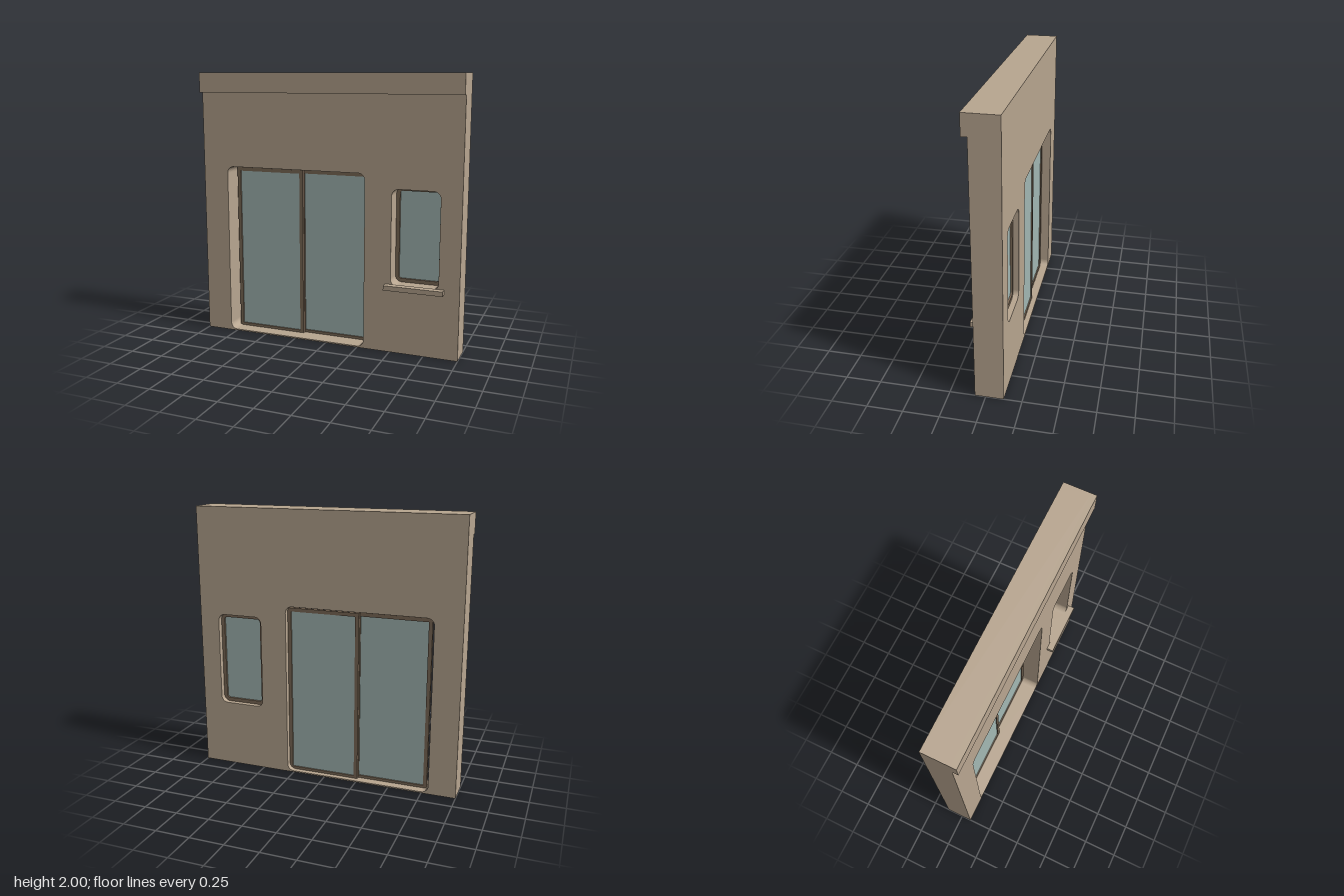
import * as THREE from 'three';

const wallMat = new THREE.MeshStandardMaterial({ name: 'sand plaster', color: 0xb8a690 });
const frameMat = new THREE.MeshStandardMaterial({ name: 'brown frame', color: 0x7d6b58 });
const glassMat = new THREE.MeshStandardMaterial({ name: 'pale glass', color: 0xa3b8b4 });

// Rounded rectangle outline from its edges; works as Shape or hole Path
function rect(Type, x0, x1, y0, y1, r = 0) {
  const p = new Type();
  if (!r) {
    p.moveTo(x0, y0); p.lineTo(x1, y0); p.lineTo(x1, y1); p.lineTo(x0, y1);
  } else {
    p.moveTo(x0 + r, y0);
    p.absarc(x1 - r, y0 + r, r, -Math.PI / 2, 0);
    p.absarc(x1 - r, y1 - r, r, 0, Math.PI / 2);
    p.absarc(x0 + r, y1 - r, r, Math.PI / 2, Math.PI);
    p.absarc(x0 + r, y0 + r, r, Math.PI, Math.PI * 1.5);
  }
  p.closePath();
  return p;
}

function slab(name, shape, z0, z1, mat) {
  const geo = new THREE.ExtrudeGeometry(shape, { depth: z1 - z0, bevelEnabled: false, curveSegments: 6 });
  geo.translate(0, 0, z0);
  const mesh = new THREE.Mesh(geo, mat);
  mesh.name = name;
  return mesh;
}

function block(name, x0, x1, y0, y1, z0, z1, mat) {
  const mesh = new THREE.Mesh(new THREE.BoxGeometry(x1 - x0, y1 - y0, z1 - z0), mat);
  mesh.position.set((x0 + x1) / 2, (y0 + y1) / 2, (z0 + z1) / 2);
  mesh.name = name;
  return mesh;
}

// Frame with a hole, and a thin pane set in the middle of its depth
function glazedPanel(name, [x0, x1, y0, y1], border, [z0, z1], rOut = 0, rIn = 0) {
  const group = new THREE.Group();
  group.name = name;
  const inner = [x0 + border, x1 - border, y0 + border, y1 - border];
  const shape = rect(THREE.Shape, x0, x1, y0, y1, rOut);
  shape.holes.push(rect(THREE.Path, ...inner, rIn));
  const zm = (z0 + z1) / 2;
  group.add(
    slab(name + 'Frame', shape, z0, z1, frameMat),
    slab(name + 'Glass', rect(THREE.Shape, ...inner, rIn), zm - 0.003, zm + 0.003, glassMat)
  );
  return group;
}

export function createModel() {
  const model = new THREE.Group();
  model.name = 'facade';

  // Wall with rounded door and window openings
  const wall = rect(THREE.Shape, -1, 1, 0, 2);
  wall.holes.push(rect(THREE.Path, -0.8, 0.3, 0.01, 1.3, 0.05));
  wall.holes.push(rect(THREE.Path, 0.5, 0.85, 0.5, 1.2, 0.05));
  model.add(slab('wall', wall, -0.125, 0.075, wallMat));

  // Projecting band along the top, and the window ledge
  model.add(block('cornice', -1, 1, 1.855, 2, 0.075, 0.115, wallMat));
  model.add(block('windowSill', 0.46, 0.89, 0.475, 0.51, 0.07, 0.125, wallMat));

  // Two overlapping sliding door leaves, one behind the other
  model.add(glazedPanel('frontDoorLeaf', [-0.775, -0.227, 0.003, 1.284], 0.027, [-0.06, -0.035]));
  model.add(glazedPanel('rearDoorLeaf', [-0.249, 0.299, 0.003, 1.284], 0.027, [-0.085, -0.06]));

  // Fixed window
  model.add(glazedPanel('window', [0.5, 0.849, 0.5, 1.2], 0.027, [-0.085, -0.05], 0.05, 0.02));

  return model;
}
